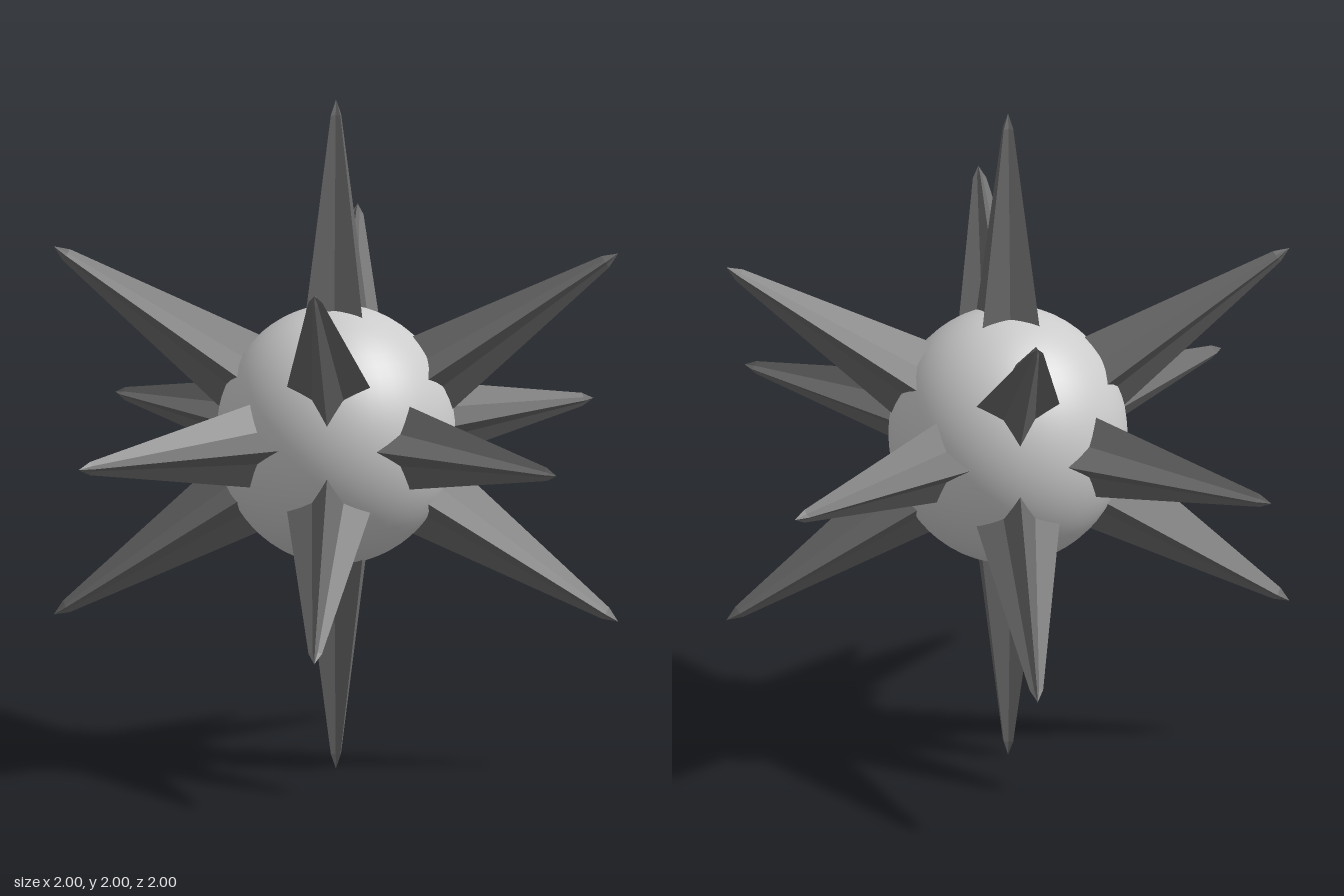
import * as THREE from 'three';

// Spike along +z with a four-pointed star cross-section and a blunt, faceted tip
function spikeGeometry() {
  const profile = [[0.143, 0.22], [0.02, 0.955], [0, 1]].map(([r, y]) => new THREE.Vector2(r, y));
  const geo = new THREE.LatheGeometry(profile, 8);
  const pos = geo.attributes.position;
  const valley = 0.55;
  for (let i = 0; i < pos.count; i++) {
    const column = Math.floor(i / profile.length);
    if (column % 2) pos.setXYZ(i, pos.getX(i) * valley, pos.getY(i), pos.getZ(i) * valley);
  }
  geo.rotateX(Math.PI / 2);
  geo.computeVertexNormals();
  return geo;
}

export function createModel() {
  const model = new THREE.Group();
  model.name = 'spikedBall';

  // Smooth core, slightly taller than wide
  const core = new THREE.Mesh(
    new THREE.SphereGeometry(1, 48, 32),
    new THREE.MeshStandardMaterial({ color: 0xcccccc })
  );
  core.name = 'core';
  core.scale.set(0.353, 0.385, 0.353);
  core.position.y = 1;
  model.add(core);

  // Spikes: six along the axes, eight along the diagonals
  const spikes = new THREE.Group();
  spikes.name = 'spikes';
  const geo = spikeGeometry();
  const mat = new THREE.MeshStandardMaterial({ color: 0x6a6a6a, flatShading: true });
  const addSpike = (name, x, y, z) => {
    const spike = new THREE.Mesh(geo, mat);
    spike.name = name;
    spike.lookAt(x, y, z);
    spikes.add(spike);
  };
  for (const s of [-1, 1]) {
    addSpike('sideSpike', s, 0, 0);
    addSpike('verticalSpike', 0, s, 0);
    addSpike('frontBackSpike', 0, 0, s);
    for (const sy of [-1, 1])
      for (const sz of [-1, 1]) addSpike('diagonalSpike', s * 0.59, sy * 0.55, sz * 0.59);
  }
  spikes.position.y = 1;
  model.add(spikes);

  return model;
}
